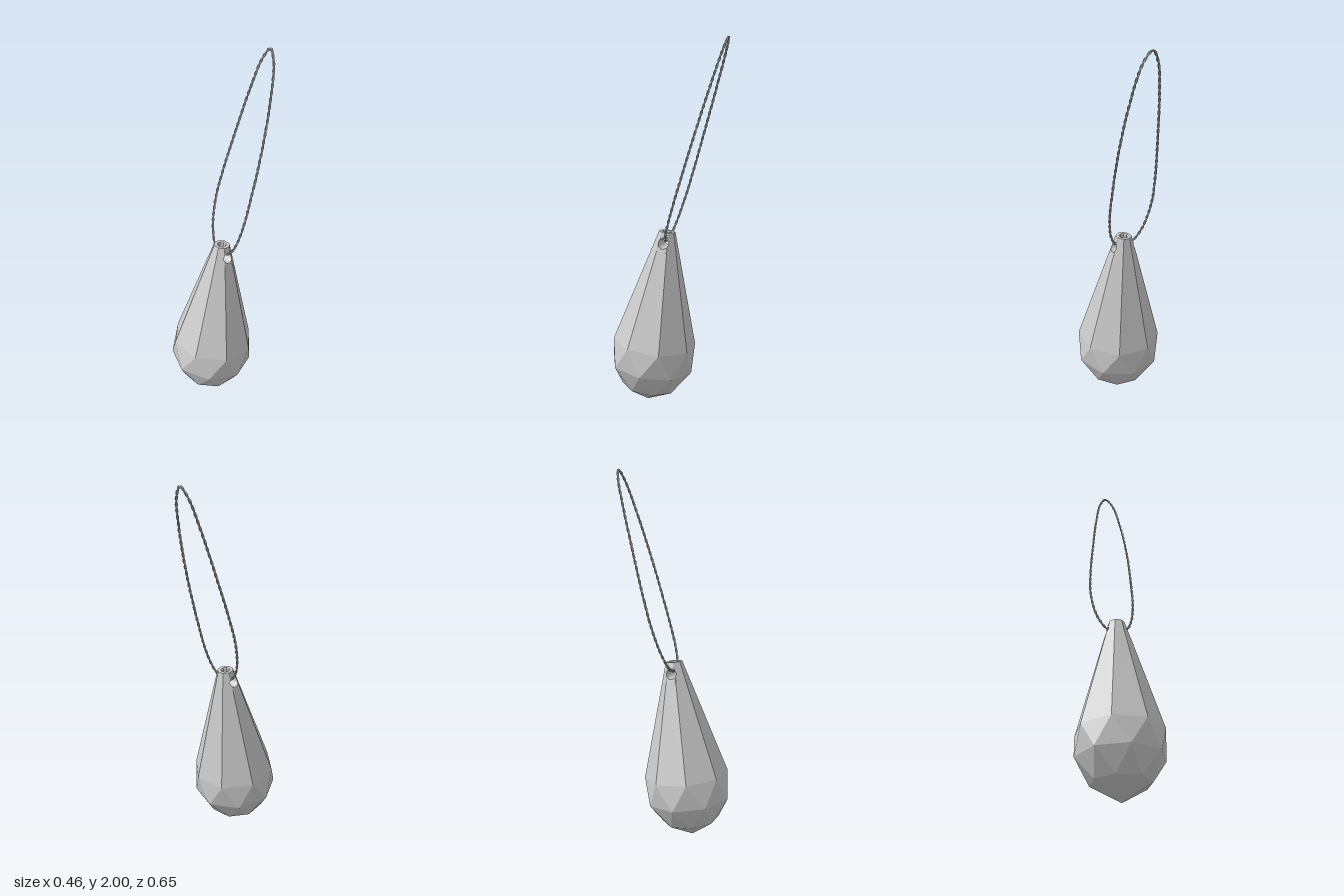
import * as THREE from 'three';

const grey = new THREE.MeshStandardMaterial({ color: 0xcccccc, flatShading: true, side: THREE.DoubleSide });
const cordGrey = new THREE.MeshStandardMaterial({ color: 0xcccccc });

// Heights are measured along the drop's own axis, from its tip
const SIDES = 8, HALF = Math.PI / SIDES;
const CROWN = { r: 0.23, h: 0.352 }, BELT = { r: 0.23, h: 0.213 }, LOWER = { r: 0.155, h: 0.09 };
const TOP = { r: 0.0445, h: 0.985 }, NECK = 0.88;
const HOLE = { r: 0.028, h: 0.925 };

const neckRadius = (h) => THREE.MathUtils.mapLinear(h, CROWN.h, TOP.h, CROWN.r, TOP.r);
const apothem = (h) => neckRadius(h) * Math.cos(HALF);

function named(name, geometry, material = grey) {
  const mesh = new THREE.Mesh(geometry, material);
  mesh.name = name;
  return mesh;
}

function fromTriangles(points) {
  const g = new THREE.BufferGeometry().setFromPoints(points);
  g.computeVertexNormals();
  return g;
}

// Eight-sided band whose corners line up from ring to ring
function octagonLathe(profile) {
  return new THREE.LatheGeometry(profile.map(([r, h]) => new THREE.Vector2(r, h)), SIDES, HALF);
}

// Band of alternating triangles between two rings turned half a side apart
function zigzagBand(low, lowTurn, high, highTurn) {
  const at = (ring, k) => new THREE.Vector3(ring.r * Math.sin(k * HALF), ring.h, ring.r * Math.cos(k * HALF));
  const tris = [];
  for (let i = 0; i < SIDES; i++) {
    const a = 2 * i + lowTurn, b = lowTurn < highTurn ? a + 1 : a + 1;
    tris.push(at(low, a), at(low, a + 2), at(high, b));
    tris.push(at(high, b), at(low, a + 2), at(high, b + 2));
  }
  return fromTriangles(tris);
}

// One side of the neck: three facets pierced by the cord hole, with its wall
function piercedNeckSide() {
  const corners = [[1, NECK], [-1, NECK], [-1, TOP.h], [1, TOP.h]];
  const steps = 14, radial = 8, depth = 0.02;
  const surface = (z, h) => {
    const a = apothem(h);
    return new THREE.Vector3(Math.min(a, a * Math.SQRT2 - Math.abs(z)), h, z);
  };
  const columns = [];
  corners.forEach(([s, h], c) => {
    const [s2, h2] = corners[(c + 1) % 4];
    for (let i = 0; i < steps; i++) {
      const t = i / steps;
      const y = THREE.MathUtils.lerp(h, h2, t);
      const z = THREE.MathUtils.lerp(s * apothem(h), s2 * apothem(h2), t);
      const len = Math.hypot(z, y - HOLE.h);
      const rimZ = (z / len) * HOLE.r, rimH = HOLE.h + ((y - HOLE.h) / len) * HOLE.r;
      // from the middle of the tunnel, out to the rim, then across the facets
      const column = [new THREE.Vector3(0, rimH, rimZ), new THREE.Vector3(depth, rimH, rimZ)];
      for (let k = 0; k <= radial; k++) {
        const f = k / radial;
        column.push(surface(THREE.MathUtils.lerp(rimZ, z, f), THREE.MathUtils.lerp(rimH, y, f)));
      }
      columns.push(column);
    }
  });
  const tris = [];
  columns.forEach((p, j) => {
    const q = columns[(j + 1) % columns.length];
    for (let k = 0; k < p.length - 1; k++) {
      if (k === 0 && p[0].y > HOLE.h + 0.01) continue; // open to the bore above
      tris.push(p[k], p[k + 1], q[k + 1], p[k], q[k + 1], q[k]);
    }
  });
  return fromTriangles(tris);
}

// Plain facet on the front of the neck
function plainNeckFacet() {
  const p = (s, h) => new THREE.Vector3(s * neckRadius(h) * Math.sin(HALF), h, apothem(h));
  const [a, b, c, d] = [p(-1, NECK), p(1, NECK), p(1, TOP.h), p(-1, TOP.h)];
  return fromTriangles([a, b, c, a, c, d]);
}

// One strand wound around a closed path lying in a leaning plane
class Strand extends THREE.Curve {
  constructor(path, normal, phase) {
    super();
    Object.assign(this, { path, normal, phase });
  }
  getPoint(t, target = new THREE.Vector3()) {
    const u = t % 1, angle = u * 34 * Math.PI * 2 + this.phase;
    const across = this.path.getTangentAt(u).cross(this.normal).normalize();
    return target.copy(this.path.getPointAt(u))
      .addScaledVector(this.normal, Math.cos(angle) * 0.0036)
      .addScaledVector(across, Math.sin(angle) * 0.0036);
  }
}

function createCord() {
  const cord = new THREE.Group();
  cord.name = 'cord';
  const slope = -0.305;
  const outline = [
    [0, 0.925], [-0.05, 0.94], [-0.1, 1.02], [-0.13, 1.17], [-0.126, 1.32], [-0.1, 1.56], [-0.07, 1.78],
    [-0.036, 1.94], [0, 1.993], [0.04, 1.94], [0.08, 1.75], [0.104, 1.5], [0.109, 1.25], [0.104, 1.1],
    [0.082, 0.99], [0.05, 0.94],
  ];
  const path = new THREE.CatmullRomCurve3(
    outline.map(([x, y]) => new THREE.Vector3(x, y, 0.013 + slope * (y - 0.925))), true);
  path.arcLengthDivisions = 800;
  const normal = new THREE.Vector3(0, -slope, 1).normalize();
  for (const phase of [0, Math.PI]) {
    cord.add(named('cordStrand', new THREE.TubeGeometry(new Strand(path, normal, phase), 700, 0.0038, 7, true), cordGrey));
  }
  return cord;
}

export function createModel() {
  const model = new THREE.Group();
  model.name = 'dropPendant';

  // Faceted drop, leaning back from its tip
  const drop = new THREE.Group();
  drop.name = 'drop';
  drop.position.z = 0.125;
  drop.rotation.x = -0.117;
  drop.add(
    named('tipFacets', octagonLathe([[0, 0], [LOWER.r, LOWER.h]])),
    named('lowerFacets', zigzagBand(LOWER, 1, BELT, 0)),
    named('beltFacets', zigzagBand(BELT, 0, CROWN, 1)),
    named('longFacets', octagonLathe([[CROWN.r, CROWN.h], [neckRadius(NECK), NECK]])),
    named('topRimAndBore', octagonLathe([[TOP.r, TOP.h], [0.026, TOP.h], [0.023, TOP.h - 0.004], [0.023, 0.945]])),
  );
  for (const turn of [0, Math.PI]) {
    const side = named('piercedNeckSide', piercedNeckSide());
    const facet = named('neckFacet', plainNeckFacet());
    side.rotation.y = facet.rotation.y = turn;
    drop.add(side, facet);
  }

  model.add(drop, createCord());
  return model;
}
